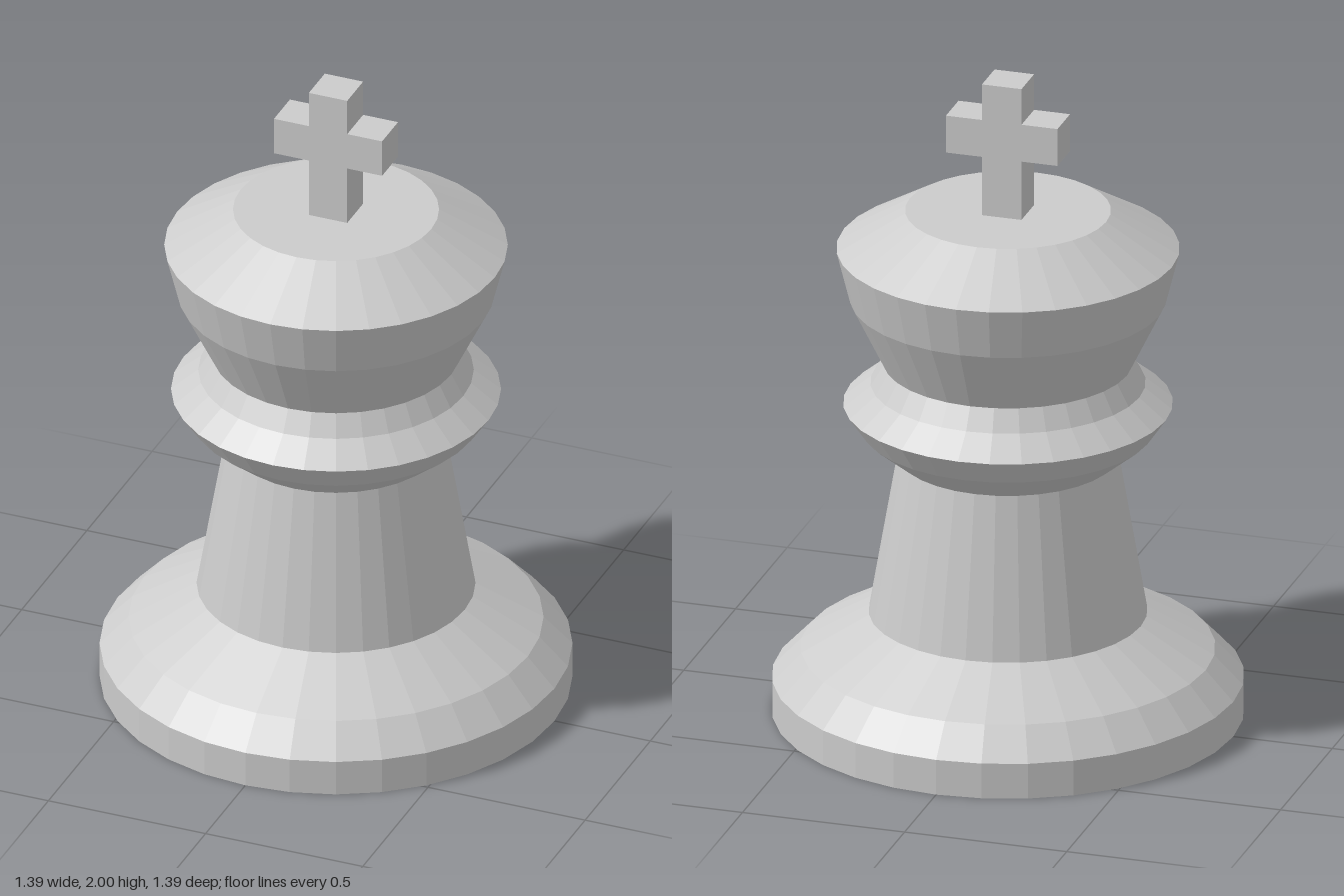
import * as THREE from 'three';

const SIDES = 32;

export function createModel() {
  const group = new THREE.Group();
  const material = new THREE.MeshStandardMaterial({ color: 0xcccccc, flatShading: true });

  const add = (name, geometry) => {
    const mesh = new THREE.Mesh(geometry, material);
    mesh.name = name;
    group.add(mesh);
    return mesh;
  };

  // Turned sections, each a [radius, height] profile from bottom to top
  const sections = {
    base: [[0, 0], [0.695, 0], [0.695, 0.11], [0.61, 0.2], [0.41, 0.315]],
    stem: [[0.41, 0.315], [0.325, 0.81]],
    collar: [[0.325, 0.81], [0.43, 0.895], [0.485, 0.975], [0.405, 1.04], [0.367, 1.105]],
    head: [[0.367, 1.105], [0.465, 1.305], [0.505, 1.465], [0.303, 1.585], [0, 1.585]],
  };
  for (const [name, profile] of Object.entries(sections)) {
    const points = profile.map(([r, y]) => new THREE.Vector2(r, y));
    add(name, new THREE.LatheGeometry(points, SIDES));
  }

  // Cross finial, one extruded outline
  const half = 0.061, arm = 0.172, foot = 1.585, low = 1.77, high = 1.887, top = 2;
  const right = [[half, foot], [half, low], [arm, low], [arm, high], [half, high], [half, top]];
  const left = right.map(([x, y]) => [-x, y]).reverse();
  const outline = new THREE.Shape([...right, ...left].map(([x, y]) => new THREE.Vector2(x, y)));
  const cross = new THREE.ExtrudeGeometry(outline, { depth: 2 * half, bevelEnabled: false });
  cross.translate(0, 0, -half);
  add('cross', cross);

  return group;
}
